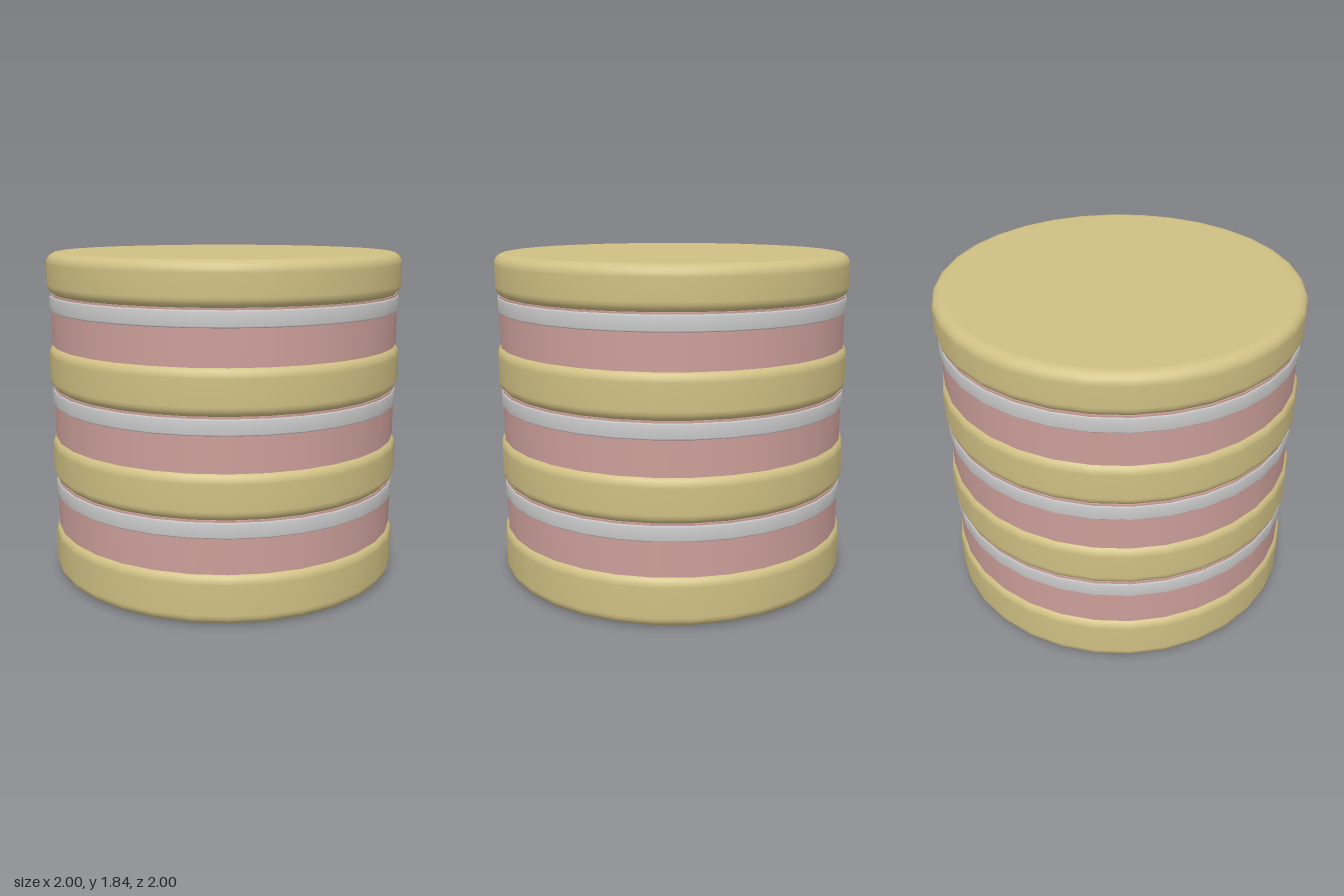
import * as THREE from 'three';

const SIDES = 32;

// Closed disc with rounded rims, turned from bottom centre to top centre
function roundedDisc(radius, bottom, top, bevel) {
  const pts = [new THREE.Vector2(0, bottom), new THREE.Vector2(radius - bevel - 0.01, bottom)];
  const steps = 5;
  for (const [y, start] of [[bottom + bevel, -Math.PI / 2], [top - bevel, 0]]) {
    for (let i = 0; i <= steps; i++) {
      const a = start + (i / steps) * Math.PI / 2;
      pts.push(new THREE.Vector2(radius - bevel + bevel * Math.cos(a), y + bevel * Math.sin(a)));
    }
  }
  pts.push(new THREE.Vector2(radius - bevel - 0.01, top), new THREE.Vector2(0, top));
  return new THREE.LatheGeometry(pts, SIDES);
}

// Thin band with softened edges, reaching in to the filling
function band(radius, inner, bottom, top) {
  const b = 0.008;
  const pts = [
    [inner, bottom], [radius - b, bottom], [radius, bottom + b],
    [radius, top - b], [radius - b, top], [inner, top],
  ].map(([x, y]) => new THREE.Vector2(x, y));
  return new THREE.LatheGeometry(pts, SIDES);
}

export function createModel() {
  const model = new THREE.Group();
  model.name = 'layerCake';

  const material = (color) => new THREE.MeshStandardMaterial({ color });
  const sponge = material(0xd0c084);
  const filling = material(0xcc9f9a);
  const cream = material(0xcccccc);

  const add = (name, geometry, mat) => {
    const mesh = new THREE.Mesh(geometry, mat);
    mesh.name = name;
    model.add(mesh);
  };

  // Four sponge layers
  const layers = [[0, 0.285], [0.55, 0.81], [1.075, 1.335], [1.6, 1.835]];
  layers.forEach(([bottom, top], i) => {
    add(`spongeLayer${i + 1}`, roundedDisc(1, bottom, top, 0.06), sponge);
  });

  // Filling and cream band between each pair of layers
  for (let i = 0; i < 3; i++) {
    const bottom = layers[i][1] - 0.01;
    const top = layers[i + 1][0];
    const height = top + 0.01 - bottom;
    const disc = new THREE.CylinderGeometry(0.982, 0.982, height, SIDES);
    disc.translate(0, bottom + height / 2, 0);
    add(`filling${i + 1}`, disc, filling);
    add(`creamBand${i + 1}`, band(0.99, 0.96, top - 0.085, top), cream);
  }

  return model;
}
